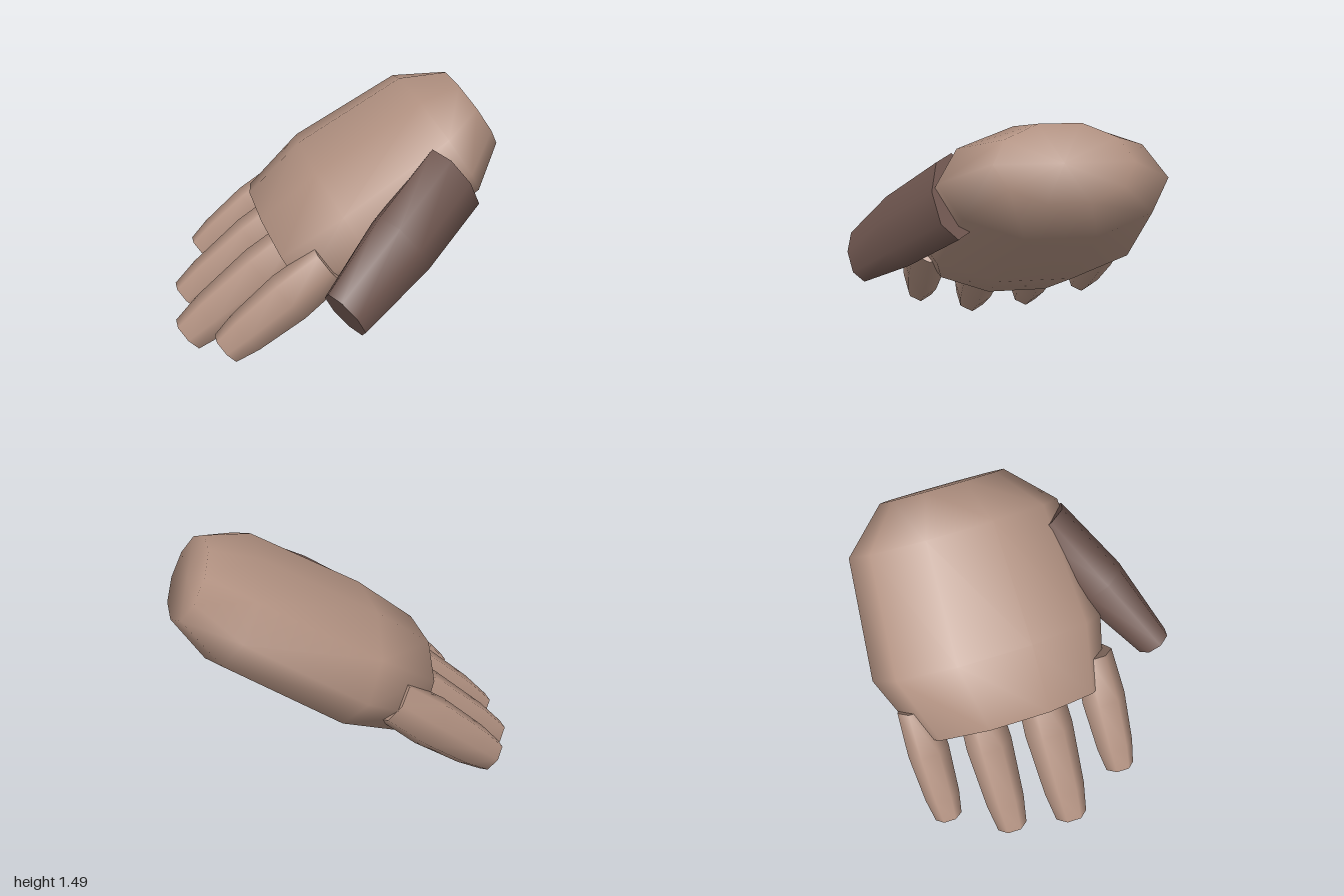
import * as THREE from 'three';

// Loft elliptical rings [x, centreY, centreZ, radiusY, radiusZ] along local +x, capped at both ends
function loft(rings, sides, phase, smoothCaps) {
  const pos = [], index = [];
  const addRing = ([x, cy, cz, ry, rz]) => {
    const start = pos.length / 3;
    for (let i = 0; i < sides; i++) {
      const a = phase + (i / sides) * Math.PI * 2;
      pos.push(x, cy + ry * Math.cos(a), cz + rz * Math.sin(a));
    }
    return start;
  };
  const starts = rings.map(addRing);
  for (let r = 0; r < rings.length - 1; r++) {
    for (let i = 0; i < sides; i++) {
      const j = (i + 1) % sides, A = starts[r], B = starts[r + 1];
      index.push(A + i, A + j, B + i, A + j, B + j, B + i);
    }
  }
  [0, rings.length - 1].forEach((r, end) => {
    const s = smoothCaps ? starts[r] : addRing(rings[r]);
    const c = pos.length / 3;
    pos.push(rings[r][0], rings[r][1], rings[r][2]);
    for (let i = 0; i < sides; i++) {
      const j = (i + 1) % sides;
      if (end) index.push(c, s + i, s + j);
      else index.push(c, s + j, s + i);
    }
  });
  const g = new THREE.BufferGeometry();
  g.setAttribute('position', new THREE.Float32BufferAttribute(pos, 3));
  g.setIndex(index);
  g.computeVertexNormals();
  return g;
}

export function createModel() {
  const model = new THREE.Group();
  model.name = 'hand';
  const skin = new THREE.MeshStandardMaterial({ color: 0xb09080 });
  skin.name = 'skin';
  const darkSkin = new THREE.MeshStandardMaterial({ color: 0x705750 });
  darkSkin.name = 'darkSkin';

  const add = (name, geometry, material) => {
    const mesh = new THREE.Mesh(geometry, material);
    mesh.name = name;
    model.add(mesh);
    return mesh;
  };

  // Palm, from the knuckles up to the wrist
  const palm = add('palm', loft([
    [0.03, 0.66, -0.16, 0.296, 0.58],
    [0.45, 0.66, -0.2, 0.353, 0.71],
    [1.18, 0.665, -0.2, 0.337, 0.63],
    [1.43, 0.664, -0.2, 0.232, 0.37],
  ], 10, Math.PI / 10, true), skin);
  palm.rotation.z = Math.atan2(0.515, 0.86);

  // Four tapered fingers: name, tip position, z, thickness scale
  const fingers = [
    ['indexFinger', -0.467, 0.395, 0.89],
    ['middleFinger', -0.686, 0.02, 1],
    ['ringFinger', -0.635, -0.355, 0.93],
    ['littleFinger', -0.44, -0.715, 0.83],
  ];
  const profile = [[0, 0.122], [0.2, 0.158], [0.62, 0.187], [1, 0.165]];
  for (const [name, tip, z, s] of fingers) {
    const rings = profile.map(([t, r]) =>
      [tip + (0.3 - tip) * t, 0.638, z, r * s, r * s * 0.83]);
    add(name, loft(rings, 7, Math.PI, false), skin).rotation.z = Math.atan2(0.6, 0.8);
  }

  // Thumb, from its blunt tip back to the side of the palm
  const tip = new THREE.Vector3(-0.16, 0.62, 0.79);
  const base = new THREE.Vector3(0.6, 1.1, 0.325);
  const axis = base.clone().sub(tip);
  const length = axis.length();
  axis.normalize();
  const wide = new THREE.Vector3(-axis.y, axis.x, 0).normalize();
  const thin = new THREE.Vector3().crossVectors(axis, wide);
  const thumb = add('thumb', loft([
    [0, 0, 0, 0.178, 0.105],
    [length * 0.5, 0, 0, 0.235, 0.165],
    [length, 0, 0, 0.248, 0.145],
  ], 8, 0, false), darkSkin);
  thumb.quaternion.setFromRotationMatrix(new THREE.Matrix4().makeBasis(axis, wide, thin));
  thumb.position.copy(tip);

  return model;
}
